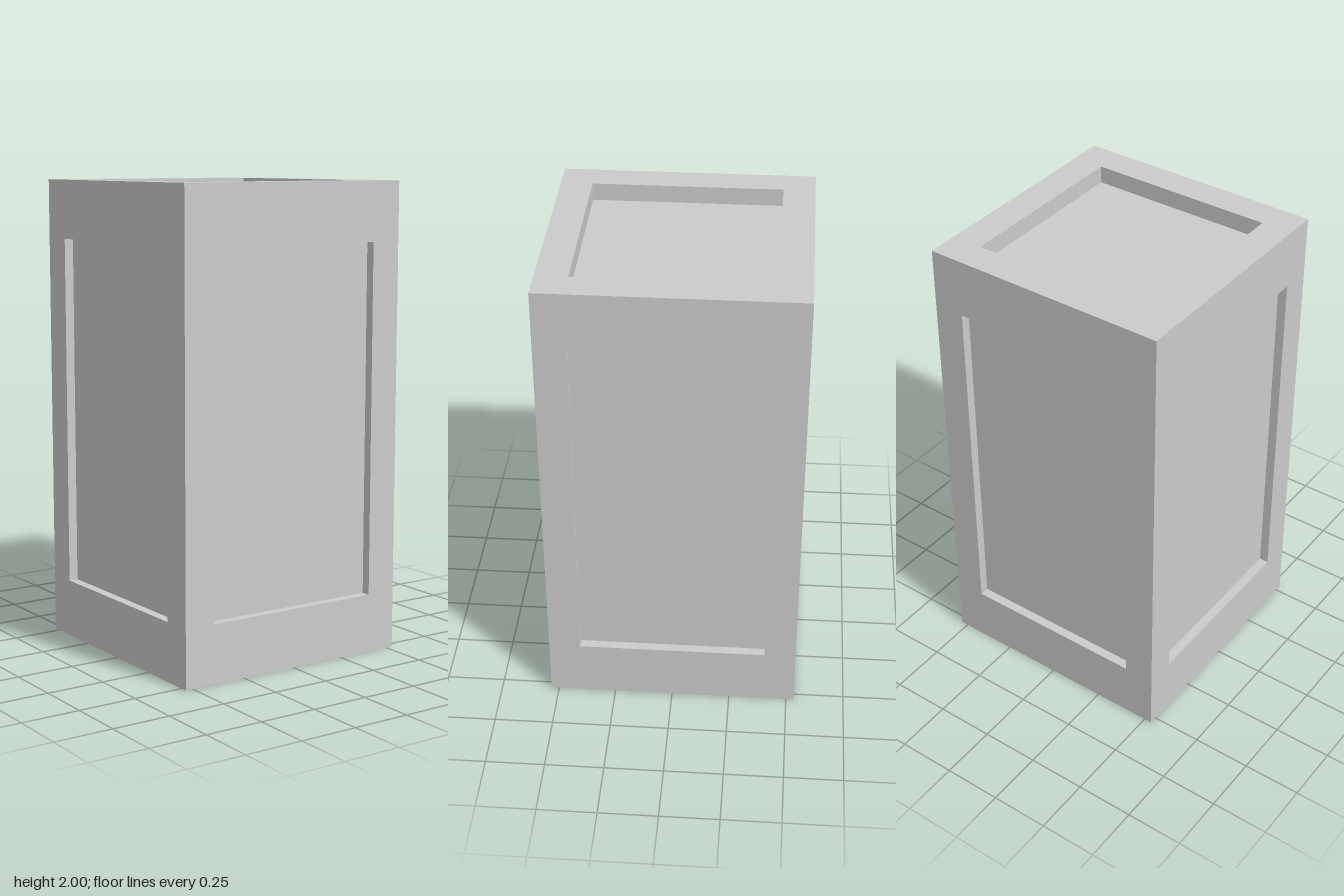
import * as THREE from 'three';

const HALF_WIDTH = 0.533, HALF_HEIGHT = 1;
const INSET = 0.75, FLOOR = 0.925; // recess size and floor level on a cube of half-size 1

// One cube face towards +z: flat rim, recess walls, sunken panel
function recessedFace() {
  const ring = (s, z) => [[-s, -s, z], [s, -s, z], [s, s, z], [-s, s, z]];
  const rings = [ring(1, 1), ring(INSET, 1), ring(INSET, FLOOR)];
  const points = [];
  const quad = (a, b, c, d) => points.push(...a, ...b, ...c, ...a, ...c, ...d);
  for (let r = 0; r < 2; r++) {
    for (let i = 0; i < 4; i++) {
      const j = (i + 1) % 4;
      quad(rings[r][i], rings[r][j], rings[r + 1][j], rings[r + 1][i]);
    }
  }
  quad(...rings[2]);
  const geometry = new THREE.BufferGeometry();
  geometry.setAttribute('position', new THREE.Float32BufferAttribute(points, 3));
  return geometry;
}

export function createModel() {
  const group = new THREE.Group();
  group.name = 'panelledBlock';
  const material = new THREE.MeshStandardMaterial({ color: 0xcccccc, flatShading: true });

  // The six faces, turned into place and stretched to the block's size
  const q = Math.PI / 2;
  const faces = [
    ['frontFace', 0, 0], ['leftFace', 0, q], ['backFace', 0, 2 * q],
    ['rightFace', 0, -q], ['topFace', -q, 0], ['bottomFace', q, 0],
  ];
  for (const [name, rx, ry] of faces) {
    const geometry = recessedFace().rotateX(rx).rotateY(ry)
      .scale(HALF_WIDTH, HALF_HEIGHT, HALF_WIDTH)
      .translate(0, HALF_HEIGHT, 0);
    geometry.computeVertexNormals();
    const mesh = new THREE.Mesh(geometry, material);
    mesh.name = name;
    group.add(mesh);
  }
  return group;
}
